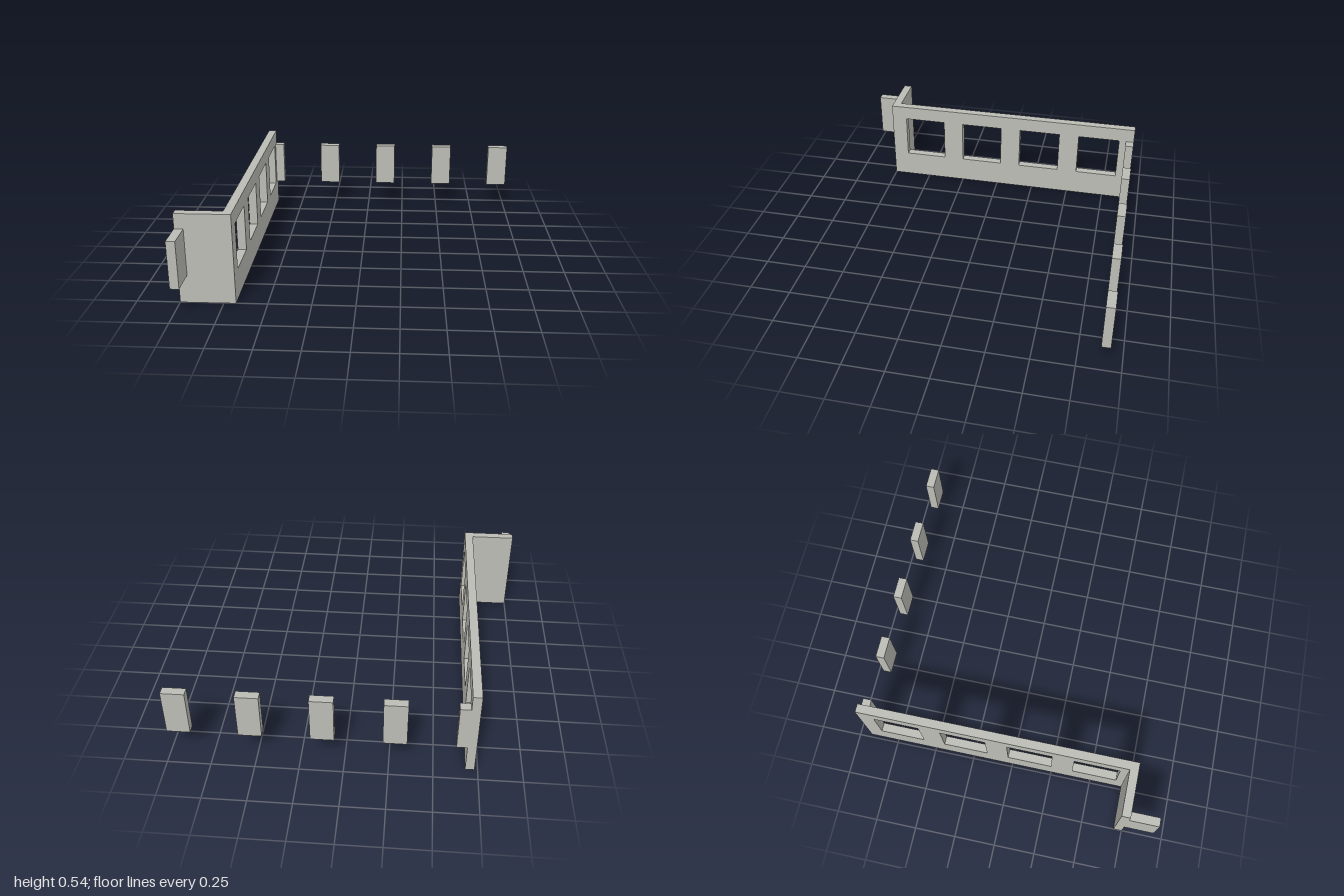
import * as THREE from 'three';

export function createModel() {
  const group = new THREE.Group();
  const grey = new THREE.MeshStandardMaterial({ color: 0xbcbcb6 });
  grey.name = 'wall grey';

  const T = 0.052; // wall thickness
  const SILL = 0.17, HEAD = 0.451, TOP = 0.541; // window bottom, window top, wall top
  const BACK = -0.928, FRONT = 0.752; // ends of the long wall
  const WALL_X = -0.732, STEP = 0.404;

  function block(name, x0, x1, y0, y1, z0, z1) {
    const mesh = new THREE.Mesh(new THREE.BoxGeometry(x1 - x0, y1 - y0, z1 - z0), grey);
    mesh.position.set((x0 + x1) / 2, (y0 + y1) / 2, (z0 + z1) / 2);
    mesh.name = name;
    group.add(mesh);
  }

  function rectangle(path, x0, y0, x1, y1) {
    path.moveTo(x0, y0);
    path.lineTo(x1, y0);
    path.lineTo(x1, y1);
    path.lineTo(x0, y1);
    path.closePath();
    return path;
  }

  // Long side wall with four window openings, drawn in (-z, y)
  const outline = rectangle(new THREE.Shape(), -FRONT, 0, -BACK, TOP);
  for (let i = 0; i < 4; i++) {
    const start = -0.653 + i * STEP;
    outline.holes.push(rectangle(new THREE.Path(), start, SILL, start + 0.272, HEAD));
  }
  const wallGeometry = new THREE.ExtrudeGeometry(outline, { depth: T, bevelEnabled: false });
  wallGeometry.rotateY(Math.PI / 2);
  const wall = new THREE.Mesh(wallGeometry, grey);
  wall.position.x = WALL_X;
  wall.name = 'windowWall';
  group.add(wall);

  // Short return wall and the pier in front of it
  block('returnWall', -1, WALL_X, 0, TOP, FRONT - T, FRONT);
  block('frontPier', -1, -1 + T, SILL, HEAD, FRONT, 0.928);

  // Row of piers along the back; the first one butts against the long wall
  for (let i = 0; i < 5; i++) {
    const right = 1 - (4 - i) * 0.405;
    block('backPier' + (i + 1), Math.max(right - 0.134, WALL_X + T), right, SILL, HEAD, BACK, BACK + T);
  }

  return group;
}
